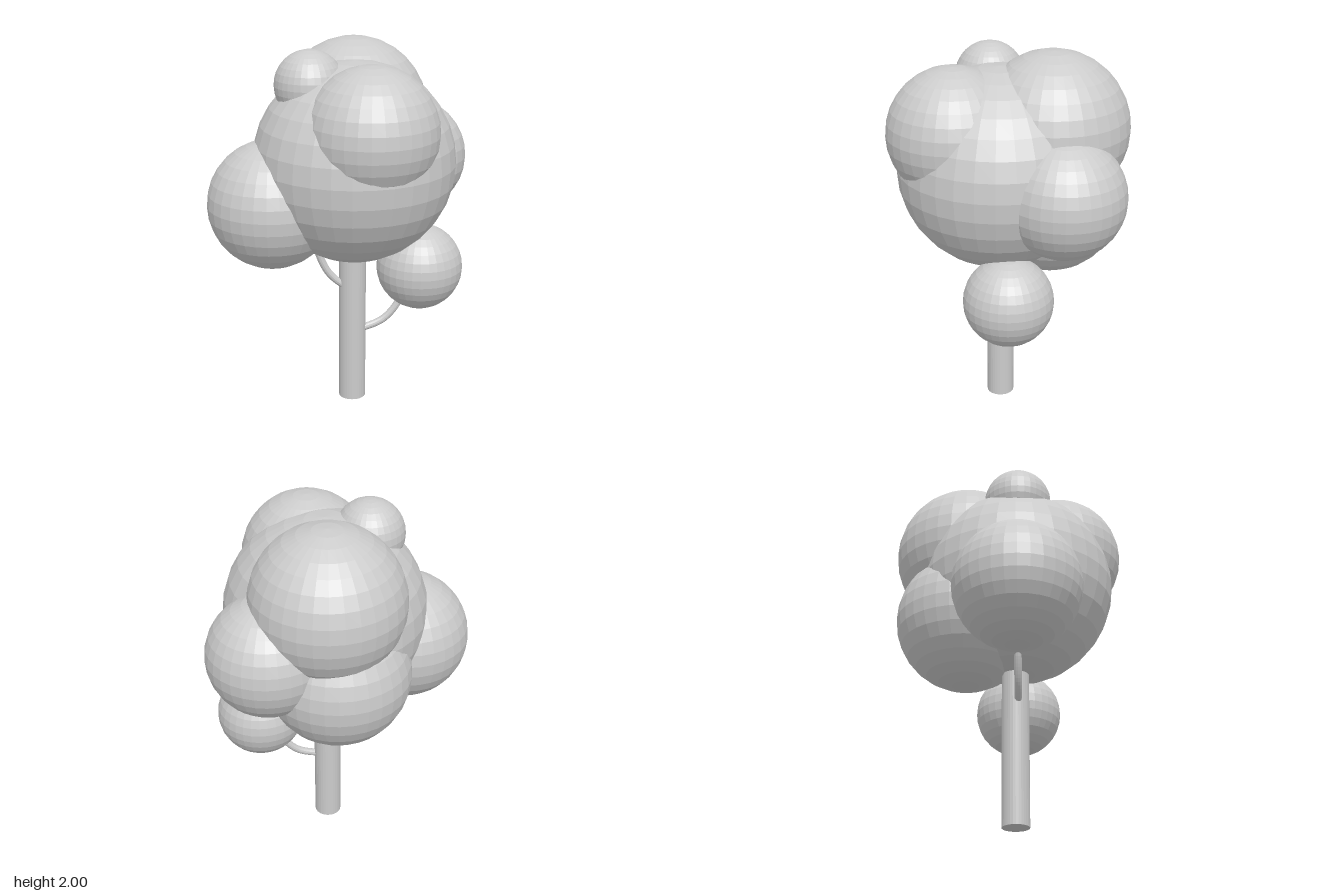
import * as THREE from 'three';

export function createModel() {
  const tree = new THREE.Group();
  tree.name = 'tree';
  const material = new THREE.MeshStandardMaterial({ color: 0xcccccc, flatShading: true });

  const add = (name, geometry, x = 0, y = 0, z = 0) => {
    const mesh = new THREE.Mesh(geometry, material);
    mesh.name = name;
    mesh.position.set(x, y, z);
    tree.add(mesh);
  };

  // Trunk, reaching up into the crown
  add('trunk', new THREE.CylinderGeometry(0.074, 0.074, 1.1, 32), 0.048, 0.55, 0.036);

  // Foliage balls: name, radius, centre
  const foliage = [
    ['mainFoliage', 0.54, 0.055, 1.382, 0.04],
    ['backUpperFoliage', 0.405, 0.1, 1.595, -0.232],
    ['backLowerFoliage', 0.387, 0.05, 1.168, -0.235],
    ['frontFoliage', 0.35, 0.1, 1.59, 0.284],
    ['rightSideFoliage', 0.346, -0.387, 1.17, 0.047],
    ['leftSideFoliage', 0.32, 0.412, 1.326, -0.235],
    ['lowBranchFoliage', 0.237, 0.42, 0.766, 0.053],
    ['topFoliage', 0.185, -0.183, 1.802, 0.052],
  ];
  for (const [name, radius, x, y, z] of foliage) {
    add(name, new THREE.SphereGeometry(radius, 32, 16), x, y, z);
  }

  // Thin curved branches from the trunk into the foliage
  const branches = {
    lowBranch: [[0.06, 0.41], [0.12, 0.42], [0.22, 0.46], [0.3, 0.55], [0.33, 0.64]],
    highBranch: [[0.03, 0.67], [-0.01, 0.685], [-0.085, 0.755], [-0.14, 0.87], [-0.16, 0.97]],
  };
  for (const [name, points] of Object.entries(branches)) {
    const path = new THREE.CatmullRomCurve3(points.map(([x, y]) => new THREE.Vector3(x, y, 0.05)));
    add(name, new THREE.TubeGeometry(path, 20, 0.02, 12));
  }

  return tree;
}
